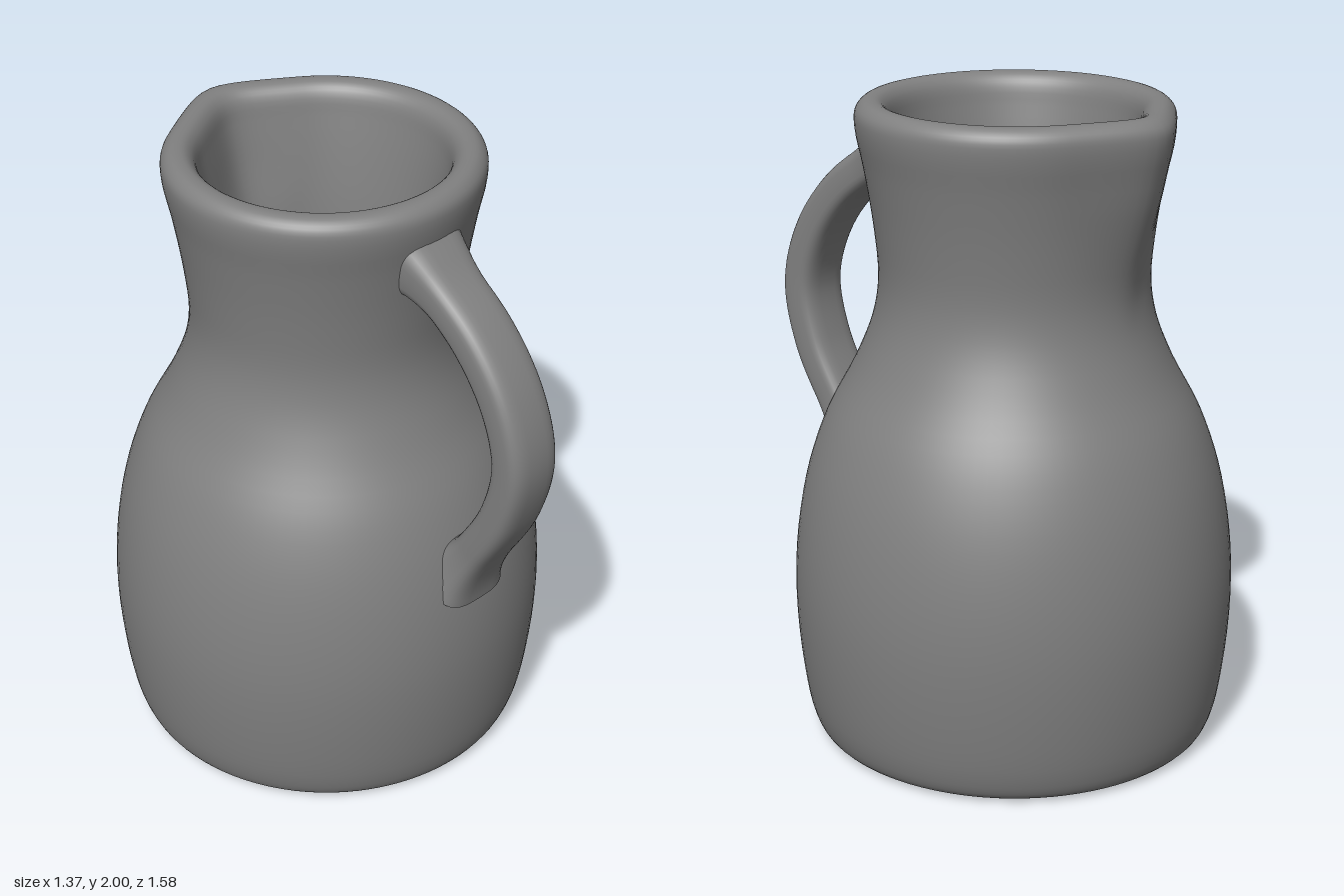
import * as THREE from 'three';
import { mergeVertices } from 'three/addons/utils/BufferGeometryUtils.js';

const BODY_Z = -0.1;

// Weld a surface so its shading is smooth across seams
function smooth(geometry) {
  geometry.deleteAttribute('uv');
  geometry.deleteAttribute('normal');
  const welded = mergeVertices(geometry, 1e-4);
  welded.computeVertexNormals();
  return welded;
}

// Thick-walled vessel: outside, rim and inside in one lathe, then a pinched spout
function bodyGeometry() {
  const profile = [
    [0, 0], [0.3, 0], [0.57, 0.003], [0.615, 0.015], [0.64, 0.06], [0.667, 0.2],
    [0.685, 0.45], [0.673, 0.66], [0.635, 0.86], [0.575, 1.03], [0.485, 1.2],
    [0.43, 1.34], [0.412, 1.46], [0.424, 1.62], [0.452, 1.8], [0.475, 1.92],
    [0.472, 1.97], [0.445, 1.997], [0.405, 1.997], [0.378, 1.97], [0.362, 1.9],
    [0.335, 1.75], [0.314, 1.6], [0.304, 1.46], [0.32, 1.33], [0.38, 1.16],
    [0.47, 0.99], [0.535, 0.83], [0.575, 0.64], [0.585, 0.44], [0.565, 0.22],
    [0.53, 0.12], [0.45, 0.1], [0.2, 0.1], [0, 0.1],
  ].map(([r, y]) => new THREE.Vector3(r, y, 0));
  const curve = new THREE.CatmullRomCurve3(profile, false, 'centripetal');
  const points = curve.getPoints(136).map(p => new THREE.Vector2(Math.max(p.x, 0), THREE.MathUtils.clamp(p.y, 0, 2)));
  const geometry = new THREE.LatheGeometry(points, 96);

  // Straight tangents run from the round neck to a softened point at the back
  const pos = geometry.attributes.position;
  for (let i = 0; i < pos.count; i++) {
    const x = pos.getX(i), y = pos.getY(i), z = pos.getZ(i);
    const angle = Math.hypot(Math.atan2(x, -z), 0.14);
    const reach = 0.6 * THREE.MathUtils.smoothstep(y, 1.1, 1.8);
    const scale = 1 / Math.cos(Math.max(0, reach - angle));
    pos.setXYZ(i, x * scale, y, z * scale);
  }
  return smooth(geometry);
}

// Flat strap swept along a planar arc, flaring where it meets the body
function handleGeometry() {
  const path = new THREE.CatmullRomCurve3([
    [1.805, 0.29], [1.767, 0.37], [1.643, 0.55], [1.48, 0.675], [1.3, 0.728],
    [1.11, 0.69], [0.94, 0.6], [0.78, 0.49],
  ].map(([y, z]) => new THREE.Vector3(0, y, z)), false, 'centripetal');
  const rings = 64, sides = 32;
  const positions = [], index = [];
  const soft = v => Math.sign(v) * Math.abs(v) ** 0.6;
  for (let i = 0; i <= rings; i++) {
    const t = i / rings;
    const p = path.getPointAt(t), d = path.getTangentAt(t);
    const flare = Math.max(0, 1 - Math.min(t, 1 - t) / 0.16) ** 2;
    for (let j = 0; j < sides; j++) {
      const a = (j / sides) * Math.PI * 2;
      const u = 0.095 * (1 + 0.4 * flare) * soft(Math.cos(a));
      const v = 0.063 * (1 + 0.8 * flare) * soft(Math.sin(a));
      positions.push(u, p.y - d.z * v, p.z + d.y * v);
      if (i < rings) {
        const k = i * sides + j, n = i * sides + (j + 1) % sides;
        index.push(k, k + sides, n, n, k + sides, n + sides);
      }
    }
  }
  const geometry = new THREE.BufferGeometry();
  geometry.setAttribute('position', new THREE.Float32BufferAttribute(positions, 3));
  geometry.setIndex(index);
  geometry.computeVertexNormals();
  return geometry;
}

export function createModel() {
  const clay = new THREE.MeshStandardMaterial({ color: 0x808080 });
  const group = new THREE.Group();
  group.name = 'jug';

  const body = new THREE.Mesh(bodyGeometry(), clay);
  body.name = 'body';
  body.position.z = BODY_Z;

  const handle = new THREE.Mesh(handleGeometry(), clay);
  handle.name = 'handle';

  group.add(body, handle);
  return group;
}
